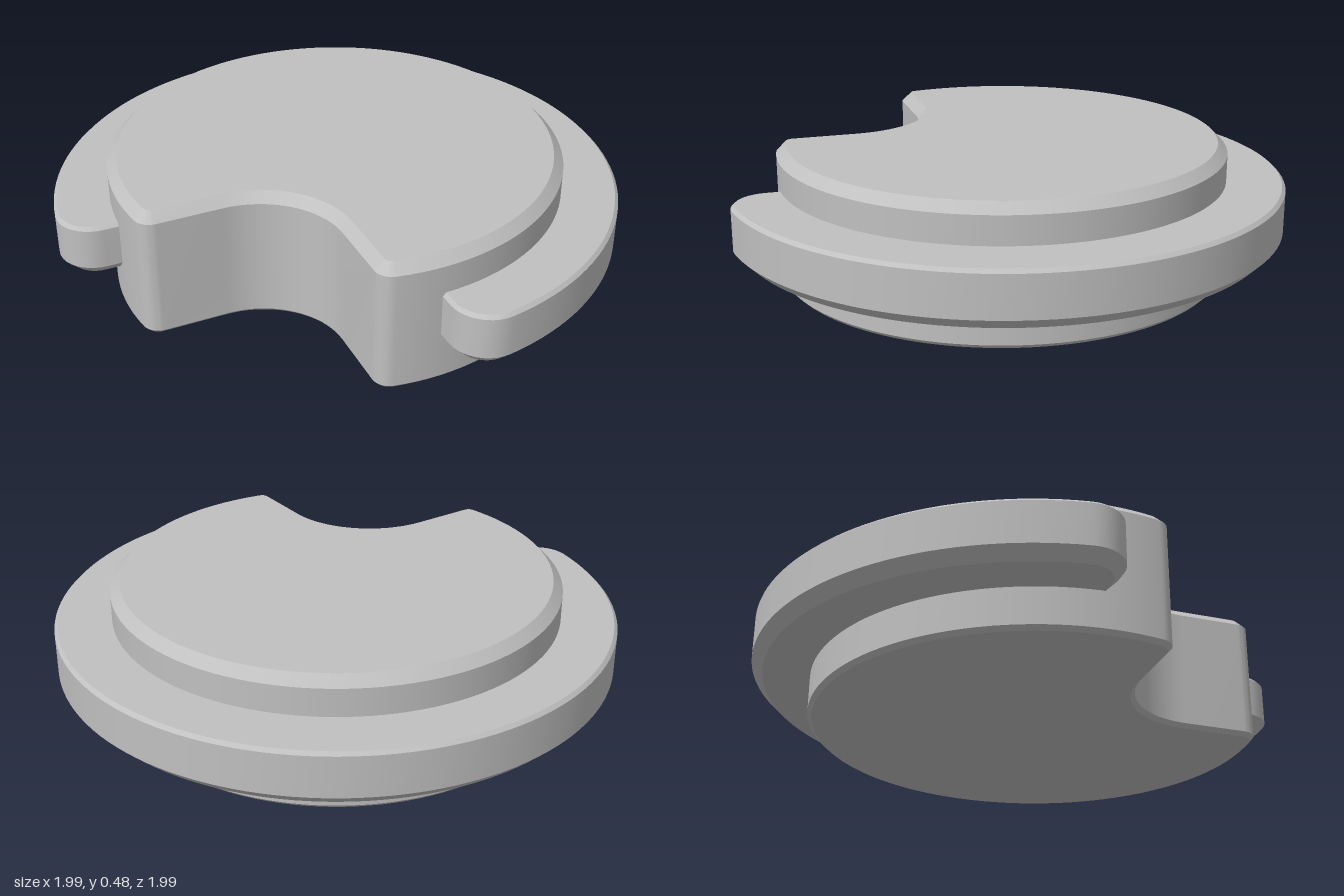
import * as THREE from 'three';
import { toCreasedNormals } from 'three/addons/utils/BufferGeometryUtils.js';

// Three-quarter disc outline in x/z: the front right quarter is notched at distance d,
// with rounded outer tips (tip) and a rounded inner corner (inner).
function notchedDisc(R, d, tip, inner, offset) {
  const points = [];
  const arc = (cx, cz, r, a0, a1, steps) => {
    for (let i = 0; i <= steps; i++) {
      const a = a0 + (a1 - a0) * i / steps;
      const p = new THREE.Vector2(cx + r * Math.cos(a), cz + r * Math.sin(a));
      if (!points.length || p.distanceTo(points[points.length - 1]) > 1e-4) points.push(p);
    }
  };
  const cz = d - tip;
  const cx = -Math.sqrt((R - tip) ** 2 - cz ** 2);
  const a1 = Math.atan2(cz, cx) - (cz > 0 ? 2 * Math.PI : 0);
  const a2 = Math.atan2(-cx, -cz);
  arc(0, 0, R, a2, a1, 96);
  arc(cx, cz, tip, a1, -1.5 * Math.PI, 10);
  arc(-d - inner, d + inner, inner, -Math.PI / 2, 0, 20);
  arc(-cz, -cx, tip, Math.PI, a2, 10);
  if (points[0].distanceTo(points[points.length - 1]) < 1e-4) points.pop();
  return points.map((p) => p.add(new THREE.Vector2(-offset, offset)));
}

// Move the outline inwards by a fixed distance, with mitred corners
function inset(points, amount) {
  const n = points.length;
  const inward = (a, b) => {
    const e = b.clone().sub(a).normalize();
    return new THREE.Vector2(e.y, -e.x);
  };
  return points.map((p, i) => {
    const n1 = inward(points[(i + n - 1) % n], p);
    const n2 = inward(p, points[(i + 1) % n]);
    const scale = amount / (1 + n1.dot(n2));
    return n1.add(n2).multiplyScalar(scale).add(p);
  });
}

// Solid slab with separate bottom and top chamfers
function chamferedSlab(outline, y0, y1, bottom, top) {
  const levels = [[y0, bottom], [y0 + bottom, 0], [y1 - top, 0], [y1, top]];
  const rings = levels.map(([y, amount]) =>
    inset(outline, amount).map((p) => new THREE.Vector3(p.x, y, p.y)));
  const positions = [];
  const tri = (...corners) => corners.forEach((v) => positions.push(v.x, v.y, v.z));
  const n = outline.length;
  for (let k = 0; k < rings.length - 1; k++) {
    const low = rings[k], high = rings[k + 1];
    for (let i = 0; i < n; i++) {
      const j = (i + 1) % n;
      tri(low[i], low[j], high[j]);
      tri(low[i], high[j], high[i]);
    }
  }
  const flat = outline.map((p) => new THREE.Vector2(p.x, -p.y));
  for (const [a, b, c] of THREE.ShapeUtils.triangulateShape(flat, [])) {
    tri(rings[3][a], rings[3][b], rings[3][c]);
    tri(rings[0][c], rings[0][b], rings[0][a]);
  }
  const geometry = new THREE.BufferGeometry();
  geometry.setAttribute('position', new THREE.Float32BufferAttribute(positions, 3));
  return toCreasedNormals(geometry, 0.5);
}

export function createModel() {
  const group = new THREE.Group();
  group.name = 'notchedFlangedDisc';
  const grey = new THREE.MeshStandardMaterial({ color: 0xc0c0c0 });
  grey.name = 'plain grey';
  const add = (name, geometry) => {
    const mesh = new THREE.Mesh(geometry, grey);
    mesh.name = name;
    group.add(mesh);
  };
  // Thick central body with a rounded notch
  add('body', chamferedSlab(notchedDisc(0.802, 0.2, 0.06, 0.3, 0.006), 0, 0.48, 0.015, 0.035));
  // Thin rim running three quarters of the way round
  add('flange', chamferedSlab(notchedDisc(1, 0, 0.13, 0.1, 0), 0.145, 0.345, 0.04, 0.012));
  return group;
}
